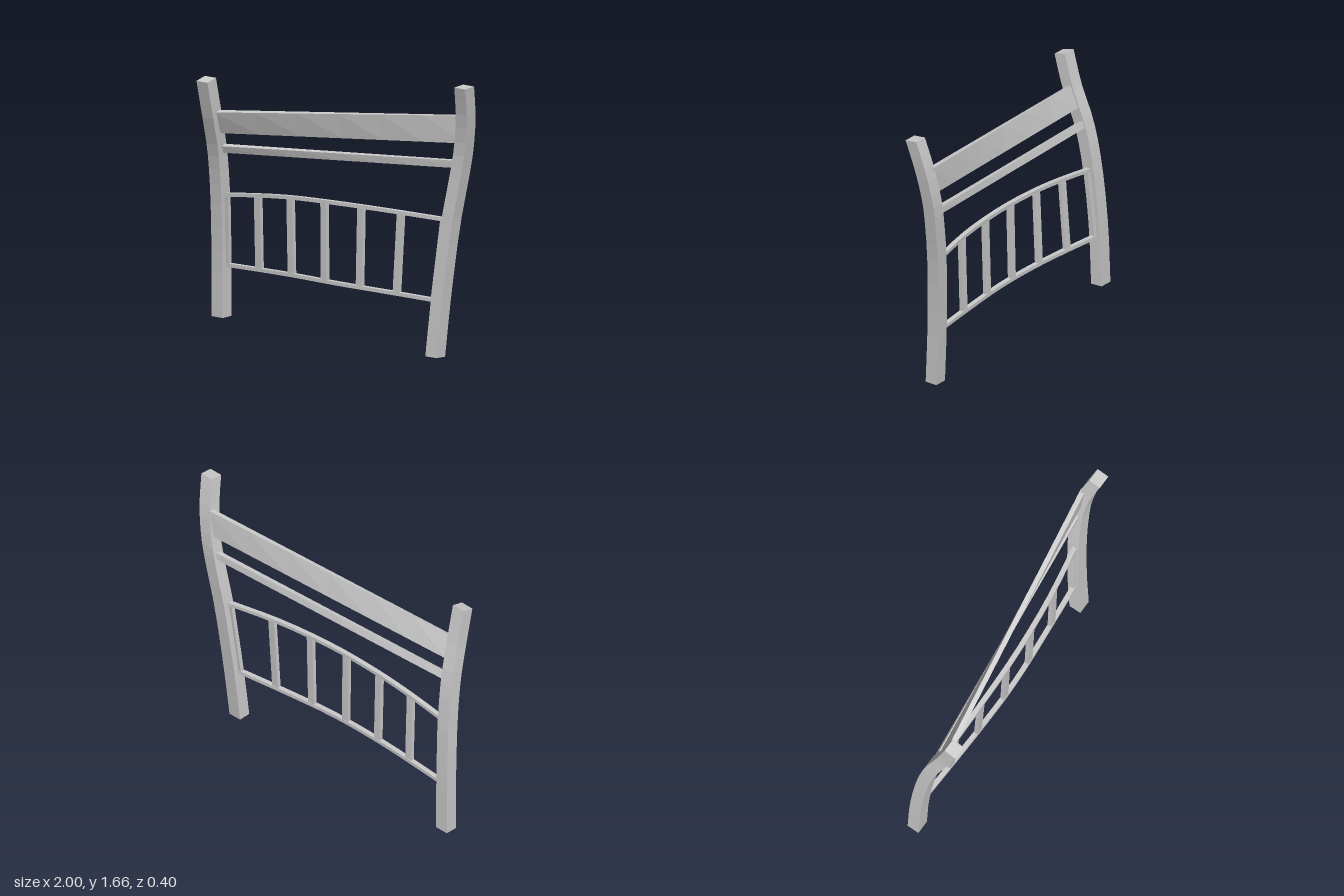
import * as THREE from 'three';

const material = new THREE.MeshStandardMaterial({ color: 0xcccccc, flatShading: true });
const V = (x, y, z) => new THREE.Vector3(x, y, z);

// Skin a row of four-cornered sections; corners run counter-clockwise seen from the end.
function loft(name, sections) {
  const pos = [];
  const tri = (...pts) => pts.forEach((p) => pos.push(p.x, p.y, p.z));
  const quad = (a, b, c, d) => { tri(a, b, c); tri(a, c, d); };
  for (let s = 0; s < sections.length - 1; s++) {
    const a = sections[s], b = sections[s + 1];
    for (let i = 0; i < 4; i++) {
      const j = (i + 1) % 4;
      quad(a[i], a[j], b[j], b[i]);
    }
  }
  const [f, l] = [sections[0], sections[sections.length - 1]];
  quad(f[3], f[2], f[1], f[0]);
  quad(l[0], l[1], l[2], l[3]);
  const geo = new THREE.BufferGeometry();
  geo.setAttribute('position', new THREE.Float32BufferAttribute(pos, 3));
  geo.computeVertexNormals();
  const mesh = new THREE.Mesh(geo, material);
  mesh.name = name;
  return mesh;
}

// Rectangle around c with half-axes u and v.
const ring = (c, u, v) => [[-1, -1], [1, -1], [1, 1], [-1, 1]].map(
  ([a, b]) => c.clone().addScaledVector(u, a).addScaledVector(v, b));

const curveOf = (pts) => new THREE.CatmullRomCurve3(pts.map((p) => V(...p)));

// Curved square post; section depth leans with the path by the given amount.
function post(name, pts, lean) {
  const curve = curveOf(pts);
  const n = 14, sections = [];
  for (let i = 0; i <= n; i++) {
    const t = curve.getPoint(i / n), d = curve.getTangent(i / n);
    const tilt = Math.atan2(d.z, d.y) * lean;
    const depth = V(0, -Math.sin(tilt), Math.cos(tilt)).multiplyScalar(0.039);
    sections.push(ring(t, depth, V(0.044, 0, 0)));
  }
  return loft(name, sections);
}

// Straight twisted board; each end gives front top and front bottom corners.
function board(name, left, right, thick) {
  const end = ([x, yTop, zTop, yBot, zBot]) => {
    const b = V(x, yBot, zBot), t = V(x, yTop, zTop);
    const back = V(0, zTop - zBot, -(yTop - yBot)).normalize().multiplyScalar(thick);
    return [b.clone().add(back), t.clone().add(back), t, b];
  };
  const a = end(left), b = end(right), n = 6;
  const sections = [];
  for (let i = 0; i <= n; i++) sections.push(a.map((p, k) => p.clone().lerp(b[k], i / n)));
  return loft(name, sections);
}

// Thin bowed rail
function rail(name, curve) {
  const sections = [];
  for (let i = 0; i <= 16; i++) {
    sections.push(ring(curve.getPoint(i / 16), V(0, 0.011, 0), V(0, 0, 0.015)));
  }
  return loft(name, sections);
}

// Point of a rail at a given x
function pointAtX(curve, x) {
  let lo = 0, hi = 1;
  for (let i = 0; i < 30; i++) {
    const m = (lo + hi) / 2;
    if (curve.getPoint(m).x < x) lo = m; else hi = m;
  }
  const p = curve.getPoint(lo);
  return V(x, p.y, p.z);
}

export function createModel() {
  const group = new THREE.Group();
  group.name = 'headboard';

  // Posts
  group.add(post('rightPost', [
    [-0.957, 0.02, -0.053], [-0.948, 0.4, -0.042], [-0.929, 0.8, -0.008],
    [-0.912, 1.05, 0.036], [-0.89, 1.28, 0.108], [-0.884, 1.492, 0.163]], 1));
  group.add(post('leftPost', [
    [0.735, 0, -0.073], [0.757, 0.36, -0.102], [0.802, 0.8, -0.135],
    [0.852, 1.08, -0.154], [0.885, 1.25, -0.157], [0.925, 1.46, -0.133],
    [0.955, 1.656, -0.086]], 0.4));

  // Upper board and the slim bar below it
  group.add(board('topBoard',
    [-0.87, 1.288, 0.12, 1.155, 0.068], [0.9, 1.466, -0.145, 1.298, -0.15], 0.03));
  group.add(board('middleBar',
    [-0.88, 1.072, 0.046, 1.03, 0.03], [0.84, 1.186, -0.145, 1.141, -0.148], 0.03));

  // Bowed rails of the slatted panel
  const top = curveOf([[-0.9, 0.767, -0.015], [-0.625, 0.8, -0.01], [-0.365, 0.823, -0.01],
    [0, 0.836, -0.02], [0.4, 0.836, -0.06], [0.79, 0.824, -0.13]]);
  const bottom = curveOf([[-0.93, 0.337, -0.05], [-0.4, 0.351, -0.028],
    [0, 0.349, -0.027], [0.4, 0.343, -0.06], [0.74, 0.335, -0.095]]);
  group.add(rail('upperRail', top), rail('lowerRail', bottom));

  // Slats: x at top and bottom
  const slats = [[-0.885, -0.907], [-0.625, -0.638], [-0.365, -0.37], [-0.098, -0.102],
    [0.18, 0.165], [0.465, 0.437], [0.763, 0.715]];
  slats.forEach(([xt, xb], i) => {
    const u = V(0, 0, 0.012), v = V(0.024, 0, 0);
    group.add(loft(`slat${i + 1}`, [
      ring(pointAtX(bottom, xb), u, v), ring(pointAtX(top, xt), u, v)]));
  });
  return group;
}
